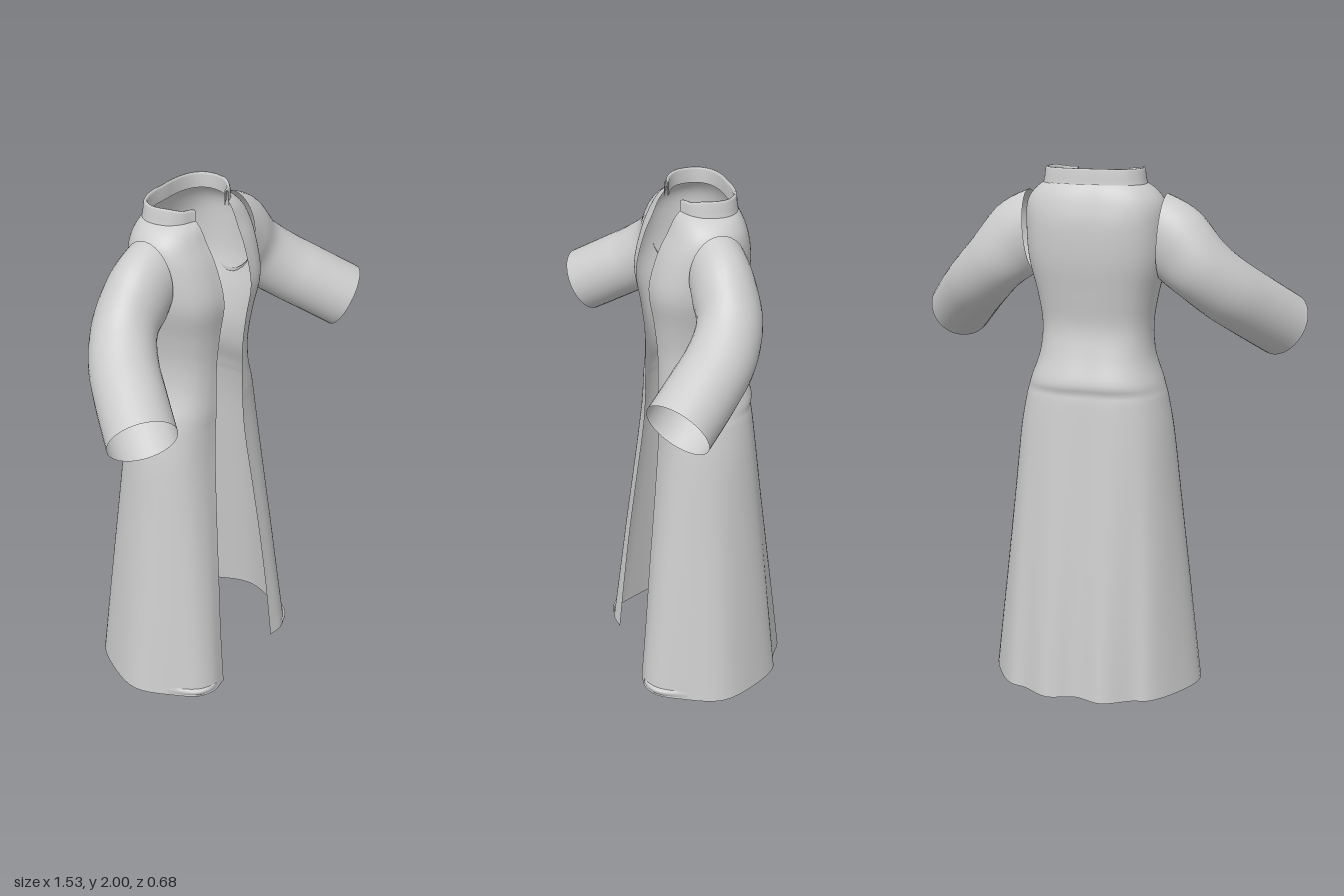
import * as THREE from 'three';

const cloth = new THREE.MeshStandardMaterial({ color: 0xcccccc, side: THREE.DoubleSide });
cloth.name = 'pale grey cloth';

// Smooth interpolation through a table of number rows
function smoothRows(table, steps) {
  const at = (i) => table[Math.min(Math.max(i, 0), table.length - 1)];
  const out = [];
  for (let i = 0; i < table.length - 1; i++) {
    for (let s = 0; s < steps; s++) {
      const t = s / steps;
      out.push(table[i].map((p1, k) => {
        const p0 = at(i - 1)[k], p2 = at(i + 1)[k], p3 = at(i + 2)[k];
        const m1 = (p2 - p0) / 2, m2 = (p3 - p1) / 2;
        return p1 + t * (m1 + t * (3 * (p2 - p1) - 2 * m1 - m2 + t * (2 * (p1 - p2) + m1 + m2)));
      }));
    }
  }
  out.push(table[table.length - 1]);
  return out;
}

// Skin a list of point rows; closed joins the last column to the first
function loft(name, rows, closed = false) {
  const n = rows[0].length, index = [];
  for (let r = 0; r < rows.length - 1; r++) {
    for (let c = 0; c < (closed ? n : n - 1); c++) {
      const a = r * n + c, b = r * n + (c + 1) % n;
      index.push(a, b, a + n, b, b + n, a + n);
    }
  }
  const geometry = new THREE.BufferGeometry().setFromPoints(rows.flat());
  geometry.setIndex(index);
  geometry.computeVertexNormals();
  const mesh = new THREE.Mesh(geometry, cloth);
  mesh.name = name;
  return mesh;
}

// Half outlines from the front edge to the middle of the back, as fractions of width and depth
const HEM = [[0, 0.98], [0.595, 1], [0.74, 0.89], [0.86, 0.59], [1, 0], [0.86, -0.48],
  [0.67, -0.79], [0.52, -0.85], [0.26, -1.03], [0, -0.94]];
const TORSO = [[0, 1], [0.58, 0.95], [0.78, 0.8], [0.93, 0.5], [1, 0], [0.96, -0.4],
  [0.82, -0.72], [0.62, -0.9], [0.33, -1], [0, -1]];

// One open horizontal outline running from the left front edge round the back to the right
function outline([y, w, open, zf, zb, zc], samples = 90) {
  const t = THREE.MathUtils.clamp(1 - y / 1.15, 0, 1);
  const half = TORSO.map(([tx, tz], i) => {
    const x = i === 0 ? open : w * THREE.MathUtils.lerp(tx, HEM[i][0], t);
    const f = THREE.MathUtils.lerp(tz, HEM[i][1], t);
    return new THREE.Vector3(x, y, zc + (f > 0 ? f * (zf - zc) : -f * (zb - zc)));
  });
  const other = half.slice(0, -1).reverse().map((p) => new THREE.Vector3(-p.x, p.y, p.z));
  return new THREE.CatmullRomCurve3([...half, ...other]).getPoints(samples);
}

// height, half width, half opening, front z, back z, z of the widest point
const BODY = [
  [0, 0.42, 0.175, 0.27, -0.33, 0],
  [0.25, 0.39, 0.165, 0.245, -0.303, 0],
  [0.5, 0.36, 0.147, 0.22, -0.275, 0],
  [0.75, 0.33, 0.125, 0.192, -0.247, 0],
  [1, 0.3, 0.1, 0.165, -0.22, 0],
  [1.13, 0.275, 0.09, 0.158, -0.206, 0],
  [1.17, 0.264, 0.087, 0.158, -0.2, 0],
  [1.21, 0.252, 0.085, 0.158, -0.205, 0],
  [1.3, 0.221, 0.084, 0.155, -0.175, 0],
  [1.41, 0.212, 0.083, 0.157, -0.151, 0],
  [1.53, 0.23, 0.083, 0.17, -0.165, 0],
  [1.66, 0.262, 0.085, 0.187, -0.184, 0],
  [1.79, 0.268, 0.09, 0.155, -0.187, -0.01],
  [1.87, 0.262, 0.095, 0.118, -0.173, -0.02],
  [1.92, 0.228, 0.098, 0.095, -0.155, -0.03],
  [1.95, 0.185, 0.1, 0.072, -0.135, -0.04],
];

// centre x y z, direction x y z, upright radius, level radius
const SLEEVE = [
  [0.257, 1.757, -0.02, 1, -0.08, 0, 0.152, 0.108],
  [0.32, 1.715, -0.02, 0.85, -0.45, 0, 0.146, 0.113],
  [0.4, 1.635, -0.015, 0.72, -0.65, 0.2, 0.127, 0.116],
  [0.49, 1.55, 0.045, 0.65, -0.6, 0.45, 0.125, 0.123],
  [0.57, 1.478, 0.135, 0.57, -0.5, 0.65, 0.125, 0.125],
  [0.66, 1.395, 0.25, 0.53, -0.46, 0.71, 0.125, 0.125],
];

function sleeveRing([x, y, z, nx, ny, nz, ru, rv]) {
  const n = new THREE.Vector3(nx, ny, nz).normalize();
  const u = new THREE.Vector3(0, 1, 0).addScaledVector(n, -n.y).normalize();
  const v = n.clone().cross(u);
  return Array.from({ length: 32 }, (_, i) => {
    const a = (i / 32) * Math.PI * 2;
    return new THREE.Vector3(x, y, z)
      .addScaledVector(u, Math.cos(a) * ru).addScaledVector(v, Math.sin(a) * rv);
  });
}

export function createModel() {
  const coat = new THREE.Group();
  coat.name = 'longCoat';

  // Open-fronted bodice and flared skirt
  coat.add(loft('coatBody', smoothRows(BODY, 4).map((row) => outline(row))));

  // Standing collar: up the outside, over the rim and down the inside
  const collarRows = [[1.943, 0.196, 0.074, -0.146], [1.965, 0.191, 0.074, -0.143],
    [1.993, 0.188, 0.072, -0.141], [2, 0.184, 0.07, -0.138], [2, 0.178, 0.065, -0.132],
    [1.992, 0.174, 0.061, -0.128], [1.943, 0.174, 0.061, -0.128]];
  coat.add(loft('collar', collarRows.map(([y, w, zf, zb]) => {
    const row = outline([y, w, 0.1, zf, zb, -0.04]);
    row.forEach((p) => { p.y -= 0.012 * THREE.MathUtils.smoothstep(p.z, 0, 0.07); });
    return row;
  })));

  // Bent sleeves, open at the cuff
  for (const [name, side] of [['leftSleeve', 1], ['rightSleeve', -1]]) {
    const sleeve = loft(name, smoothRows(SLEEVE, 5).map(sleeveRing), true);
    sleeve.scale.x = side;
    coat.add(sleeve);
  }

  // Small turned folds at the front corners of the hem
  for (const [name, side] of [['leftHemFold', 1], ['rightHemFold', -1]]) {
    const base = outline(BODY[0]).slice(4, 17);
    const foldRows = [[0.008, 0], [0.02, 0.008], [0.03, 0.008], [0.036, -0.004]].map(([y, out]) =>
      base.map((p, i) => {
        const bulge = out * Math.sin((i / (base.length - 1)) * Math.PI);
        const away = new THREE.Vector3(p.x, 0, p.z).normalize();
        return new THREE.Vector3(p.x, y, p.z).addScaledVector(away, bulge);
      }));
    const fold = loft(name, foldRows);
    fold.scale.x = side;
    coat.add(fold);
  }
  return coat;
}
